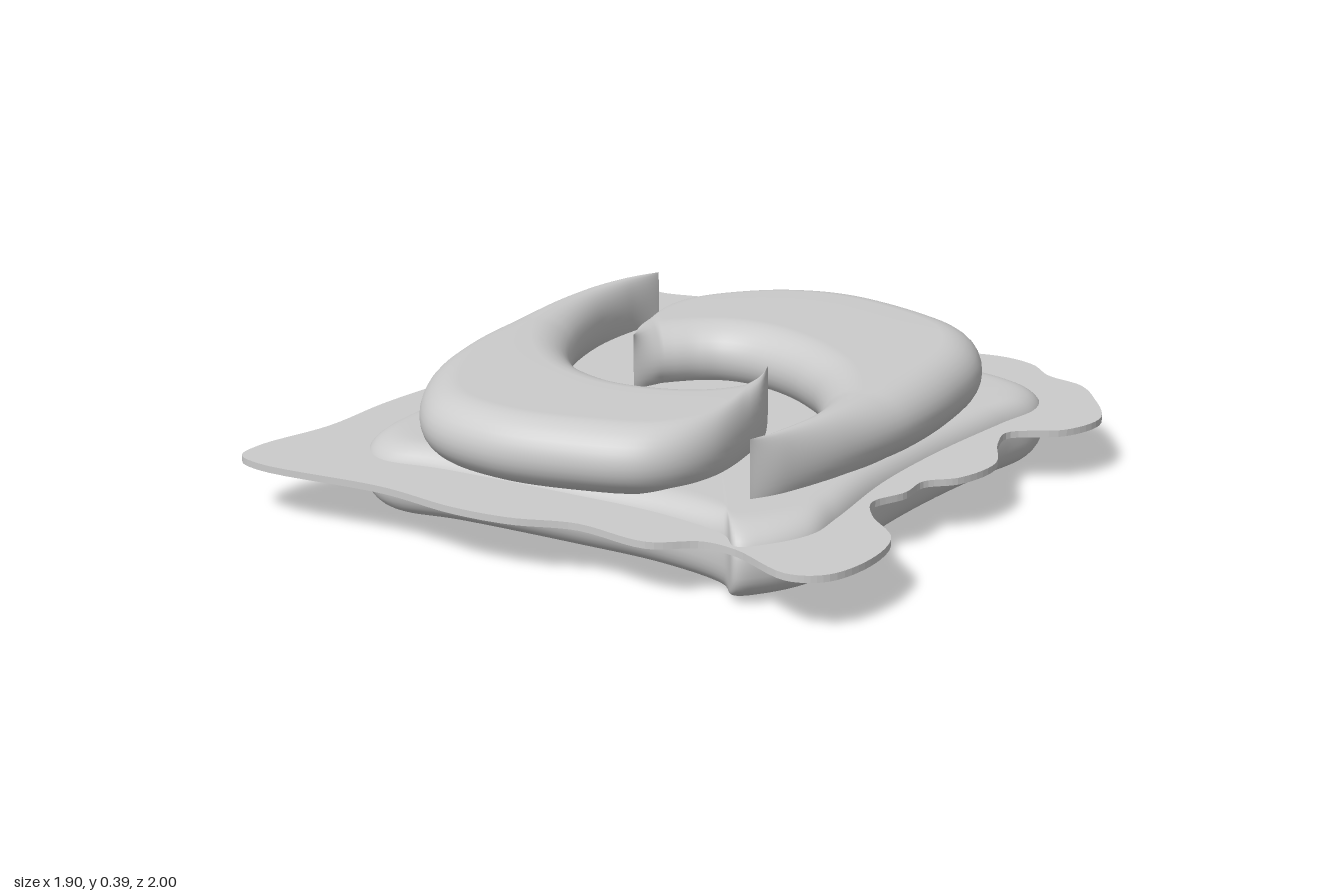
import * as THREE from 'three';

const material = new THREE.MeshStandardMaterial({ color: 0xcccccc, side: THREE.DoubleSide });
const points = (flat) => {
  const list = [];
  for (let i = 0; i < flat.length; i += 2) list.push(new THREE.Vector2(flat[i], flat[i + 1]));
  return list;
};
const closedCurve = (flat) =>
  new THREE.CatmullRomCurve3(points(flat).map((p) => new THREE.Vector3(p.x, 0, p.y)), true, 'centripetal');

// Smooth skin over a list of closed rings, wound so that it faces outward
function skin(name, rings) {
  const n = rings[0].length, index = [];
  for (let i = 0; i < rings.length - 1; i++) {
    for (let j = 0; j < n; j++) {
      const k = (j + 1) % n, a = i * n + j, b = i * n + k;
      index.push(a, b, a + n, b, b + n, a + n);
    }
  }
  const verts = rings.flat();
  let volume = 0;
  for (let i = 0; i < index.length; i += 3) {
    const [a, b, c] = [0, 1, 2].map((k) => verts[index[i + k]]);
    volume += a.dot(b.clone().cross(c));
  }
  if (volume < 0) index.reverse();
  const geometry = new THREE.BufferGeometry().setFromPoints(verts);
  geometry.setIndex(index);
  geometry.computeVertexNormals();
  const mesh = new THREE.Mesh(geometry, material);
  mesh.name = name;
  return mesh;
}

// Puffed crescent between an outer and an inner edge that meet at both tips
function swirl(name, outerFlat, innerFlat) {
  const outer = new THREE.SplineCurve(points(outerFlat));
  const inner = new THREE.SplineCurve(points(innerFlat));
  const rings = [], steps = 120, around = 16;
  for (let i = 0; i <= steps; i++) {
    const a = outer.getPoint(i / steps), b = inner.getPoint(i / steps);
    const mid = a.clone().add(b).multiplyScalar(0.5);
    const dir = a.clone().sub(b), w = dir.length() / 2, r = Math.min(0.12, w);
    dir.normalize();
    const ring = [];
    // two rounded edges joined by a flat top and bottom
    for (const side of [1, -1]) {
      for (let j = 0; j <= around; j++) {
        const t = -Math.PI / 2 + (Math.PI * j) / around;
        const x = side * (w - r + r * Math.cos(t));
        ring.push(new THREE.Vector3(mid.x + dir.x * x, 0.285 + side * 0.102 * Math.sin(t), mid.y + dir.y * x));
      }
    }
    rings.push(ring);
  }
  return skin(name, rings);
}

// Pillow body: the outline shrinks toward its middle above and below
function body() {
  const outline = closedCurve([
    -0.76, -0.5, -0.74, -0.65, -0.6, -0.75, -0.35, -0.765, 0, -0.75, 0.3, -0.71, 0.55, -0.735, 0.72, -0.68,
    0.765, -0.58, 0.74, -0.42, 0.7, -0.1, 0.69, 0.2, 0.72, 0.5, 0.725, 0.64, 0.66, 0.77, 0.6, 0.825,
    0.53, 0.77, 0.3, 0.73, 0, 0.74, -0.4, 0.77, -0.6, 0.8, -0.7, 0.72, -0.73, 0.55, -0.7, 0.25,
    -0.7, 0, -0.74, -0.3,
  ]).getPoints(200).slice(0, -1);
  const ringAt = (scale, y) => outline.map((p) => new THREE.Vector3(p.x * scale, y, p.z * scale));
  const rings = [ringAt(0, 0), ringAt(0.45, 0)];
  for (let i = 0; i <= 20; i++) {
    const t = -Math.PI / 2 + (Math.PI * i) / 20;
    const s = Math.sign(Math.sin(t)) * Math.abs(Math.sin(t)) ** 0.8;
    rings.push(ringAt(0.86 + 0.14 * Math.cos(t) ** 0.8, 0.11 + 0.108 * s));
  }
  rings.push(ringAt(0.45, 0.22), ringAt(0, 0.22));
  return skin('pouchBody', rings);
}

// Thin wavy sheet around the pouch
function film() {
  const edge = closedCurve([
    -0.88, -0.95, -0.78, -0.96, -0.6, -1, -0.4, -0.975, -0.3, -0.92, -0.21, -0.87, -0.1, -0.92, 0.04, -0.96,
    0.2, -0.9, 0.28, -0.92, 0.45, -0.96, 0.56, -0.94, 0.65, -0.87, 0.77, -0.84, 0.86, -0.75, 0.95, -0.6,
    0.91, -0.46, 0.78, -0.35, 0.8, -0.25, 0.87, -0.1, 0.84, 0.05, 0.77, 0.13, 0.77, 0.23, 0.73, 0.34,
    0.78, 0.43, 0.9, 0.54, 0.93, 0.7, 0.89, 0.85, 0.8, 0.9, 0.6, 0.83, 0.5, 0.83, 0.38, 0.91,
    0.15, 0.9, -0.02, 0.96, -0.2, 0.98, -0.45, 0.96, -0.85, 1, -0.94, 0.97, -0.95, 0.88, -0.89, 0.65,
    -0.88, 0.4, -0.82, 0, -0.8, -0.2, -0.83, -0.28, -0.92, -0.33, -0.93, -0.45, -0.925, -0.75,
  ]).getPoints(300).slice(0, -1);
  const shape = new THREE.Shape(edge.map((p) => new THREE.Vector2(p.x, p.z)));
  const geometry = new THREE.ExtrudeGeometry(shape, { depth: 0.02, bevelEnabled: false });
  geometry.rotateX(Math.PI / 2).translate(0, 0.17, 0);
  const mesh = new THREE.Mesh(geometry, material);
  mesh.name = 'filmSheet';
  return mesh;
}

export function createModel() {
  const group = new THREE.Group();
  group.name = 'pouch';
  group.add(
    film(),
    body(),
    swirl('frontSwirl',
      [-0.54, -0.54, -0.62, -0.44, -0.68, -0.25, -0.7, 0, -0.68, 0.3, -0.6, 0.57, -0.43, 0.79,
        -0.2, 0.85, 0.05, 0.81, 0.26, 0.72, 0.35, 0.53, 0.32, 0.25, 0.23, 0.065],
      [-0.54, -0.54, -0.56, -0.42, -0.555, -0.25, -0.5, -0.05, -0.4, 0.13, -0.28, 0.25, -0.17, 0.305,
        -0.05, 0.325, 0.06, 0.3, 0.14, 0.255, 0.19, 0.2, 0.22, 0.13, 0.23, 0.065]),
    swirl('backSwirl',
      [0.51, 0.61, 0.57, 0.52, 0.64, 0.32, 0.69, 0.05, 0.685, -0.22, 0.63, -0.47, 0.47, -0.65,
        0.12, -0.745, -0.13, -0.69, -0.32, -0.52, -0.38, -0.35, -0.34, -0.12, -0.25, 0.03],
      [0.51, 0.61, 0.515, 0.48, 0.5, 0.28, 0.43, 0.11, 0.33, -0.02, 0.22, -0.1, 0.12, -0.145,
        0.02, -0.165, -0.06, -0.155, -0.12, -0.12, -0.17, -0.07, -0.21, -0.02, -0.25, 0.03]),
  );
  return group;
}
